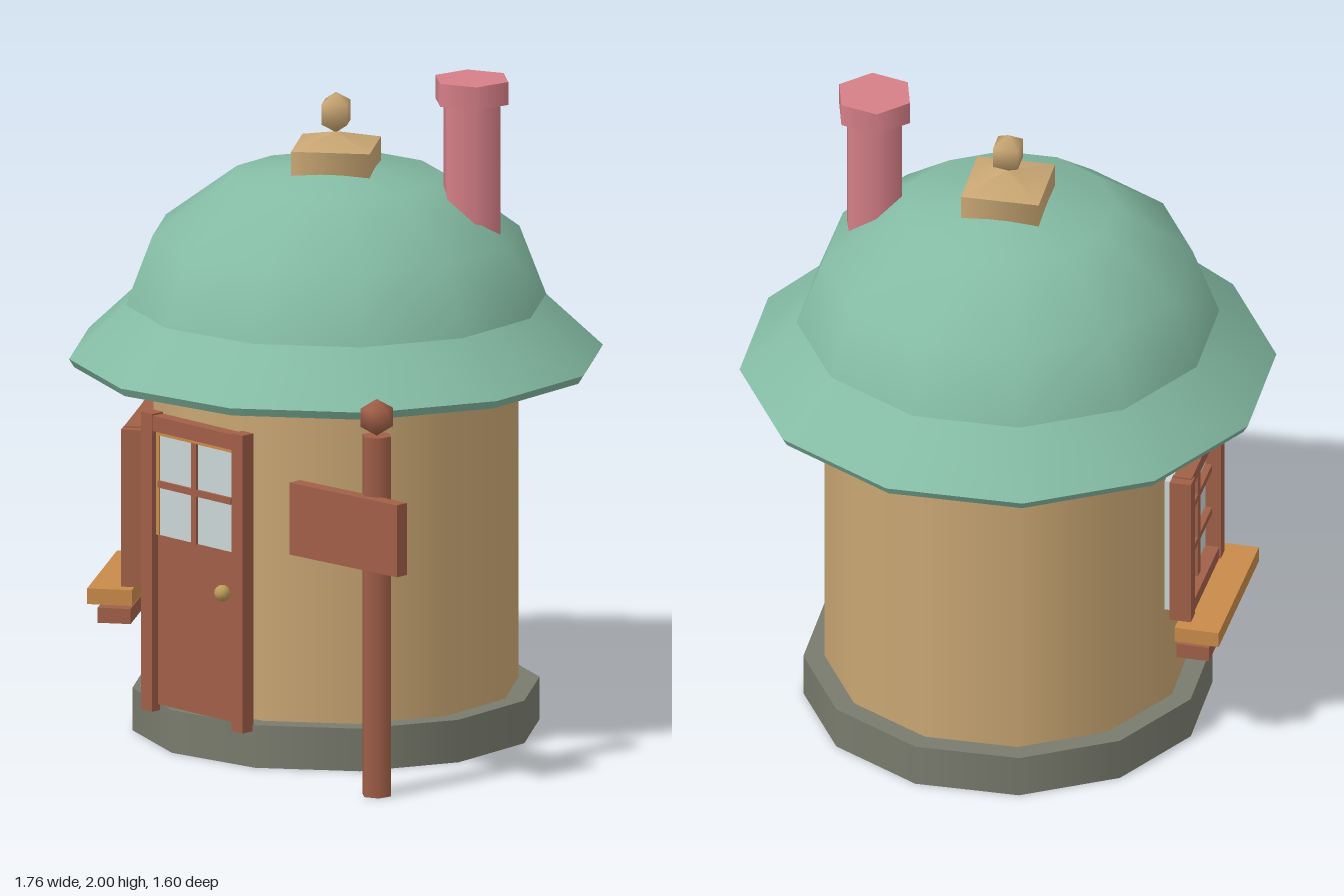
import * as THREE from 'three';

const material = (name, color) => Object.assign(new THREE.MeshStandardMaterial({ color }), { name });

export function createModel() {
  const roofGreen = material('roof green', 0x84bba4);
  const wallTan = material('wall tan', 0xc9a673);
  const stone = material('stone grey', 0x797b6d);
  const wood = material('red brown wood', 0xa05f47);
  const pink = material('chimney pink', 0xd67f88);
  const glass = material('pale glass', 0xcbd5d5);
  const sillOrange = material('sill orange', 0xc98a4a);
  const brass = material('brass', 0xbd9a5c);

  const model = new THREE.Group();
  model.name = 'cottage';

  function add(parent, name, geometry, mat, x = 0, y = 0, z = 0) {
    const mesh = new THREE.Mesh(geometry, mat);
    mesh.name = name;
    mesh.position.set(x, y, z);
    parent.add(mesh);
    return mesh;
  }
  // Box given by its x and y limits, its middle z and its depth
  function slab(parent, name, mat, x0, x1, y0, y1, z, depth) {
    return add(parent, name, new THREE.BoxGeometry(x1 - x0, y1 - y0, depth), mat,
      (x0 + x1) / 2, (y0 + y1) / 2, z);
  }
  // Upright prism given by its bottom and top
  function column(parent, name, mat, radius, sides, y0, y1, x = 0, z = 0) {
    return add(parent, name, new THREE.CylinderGeometry(radius, radius, y1 - y0, sides), mat,
      x, (y0 + y1) / 2, z);
  }
  function turned(parent, name, mat, points, sides) {
    const profile = points.map(([r, y]) => new THREE.Vector2(r, y));
    return add(parent, name, new THREE.LatheGeometry(profile, sides), mat);
  }

  // Round hut: base, wall and two-part roof
  const hut = new THREE.Group();
  hut.name = 'hut';
  hut.position.x = -0.08;
  model.add(hut);
  column(hut, 'stoneBase', stone, 0.61, 12, 0, 0.13);
  column(hut, 'wall', wallTan, 0.547, 12, 0.13, 1.13);
  turned(hut, 'roofUnderside', roofGreen, [[0.5, 1.115], [0.785, 1.115]], 12);
  turned(hut, 'roofEdge', roofGreen, [[0.785, 1.115], [0.8, 1.14]], 12);
  turned(hut, 'roofBrim', roofGreen, [[0.8, 1.14], [0.625, 1.305]], 12);
  turned(hut, 'roofDome', roofGreen, [[0.63, 1.3], [0.55, 1.51], [0.32, 1.68], [0, 1.725]], 12);

  // Finial: square cap with a low point and a ball
  column(hut, 'finialCap', wallTan, 0.167, 4, 1.66, 1.775);
  add(hut, 'finialPoint', new THREE.ConeGeometry(0.167, 0.04, 4), wallTan, 0, 1.795, 0);
  add(hut, 'finialBall', new THREE.SphereGeometry(0.062, 4, 3), wallTan, 0, 1.873, 0);

  // Chimney
  column(model, 'chimney', pink, 0.092, 6, 1.5, 1.94, 0.245, -0.262);
  column(model, 'chimneyCap', pink, 0.118, 6, 1.93, 2, 0.245, -0.262);

  // Door, turned slightly towards its left
  const door = new THREE.Group();
  door.name = 'door';
  door.position.z = 0.575;
  door.rotation.y = 0.12;
  model.add(door);
  slab(door, 'doorPanel', wood, -0.17, 0.17, 0.13, 0.97, -0.03, 0.06);
  for (const side of [-1, 1]) {
    slab(door, 'doorPost', wood, side * 0.195 - 0.024, side * 0.195 + 0.024, 0.11, 1.02, 0, 0.045);
    slab(door, 'doorWindowTrim', sillOrange, side * 0.163 - 0.006, side * 0.163 + 0.006, 0.65, 0.965, 0.004, 0.008);
  }
  slab(door, 'doorLintel', wood, -0.172, 0.172, 0.968, 1.015, 0, 0.042);
  slab(door, 'doorWindowTrim', sillOrange, -0.165, 0.165, 0.955, 0.967, 0.004, 0.008);
  slab(door, 'doorGlass', glass, -0.157, 0.157, 0.65, 0.955, 0.001, 0.006);
  slab(door, 'doorMuntin', wood, -0.012, 0.008, 0.65, 0.957, 0.007, 0.014);
  slab(door, 'doorMuntin', wood, -0.157, 0.157, 0.797, 0.817, 0.007, 0.014);
  add(door, 'doorKnob', new THREE.SphereGeometry(0.025, 10, 8), brass, 0.127, 0.523, 0.018);

  // Window on the front right of the wall; local z is the distance from the hut axis
  const win = new THREE.Group();
  win.name = 'window';
  win.rotation.y = THREE.MathUtils.degToRad(-47);
  hut.add(win);
  slab(win, 'windowGlass', glass, -0.18, 0.18, 0.46, 0.91, 0.545, 0.04);
  for (const side of [-1, 1]) {
    slab(win, 'windowPost', wood, side * 0.185 - 0.024, side * 0.185 + 0.024, 0.445, 0.925, 0.58, 0.065);
  }
  slab(win, 'windowTopRail', wood, -0.18, 0.18, 0.89, 0.93, 0.58, 0.055);
  slab(win, 'windowBottomRail', wood, -0.18, 0.18, 0.445, 0.485, 0.58, 0.055);
  slab(win, 'windowMuntin', wood, -0.014, 0.014, 0.48, 0.9, 0.575, 0.022);
  for (const y of [0.61, 0.76]) {
    slab(win, 'windowMuntin', wood, -0.17, 0.17, y - 0.011, y + 0.011, 0.575, 0.022);
  }
  slab(win, 'windowSill', sillOrange, -0.25, 0.25, 0.397, 0.445, 0.64, 0.135);
  slab(win, 'sillSupport', wood, -0.245, 0.245, 0.34, 0.386, 0.627, 0.1);

  // Signpost with a blank board
  const sign = new THREE.Group();
  sign.name = 'signpost';
  sign.position.set(0.725, 0, 0.45);
  model.add(sign);
  column(sign, 'signPole', wood, 0.046, 6, 0, 1.1);
  add(sign, 'poleBall', new THREE.SphereGeometry(0.056, 6, 3), wood, 0, 1.155, 0);
  const board = slab(sign, 'signBoard', wood, -0.283, 0.153, 0.7, 0.92, 0.057, 0.045);
  board.rotation.y = 0.18;

  return model;
}
